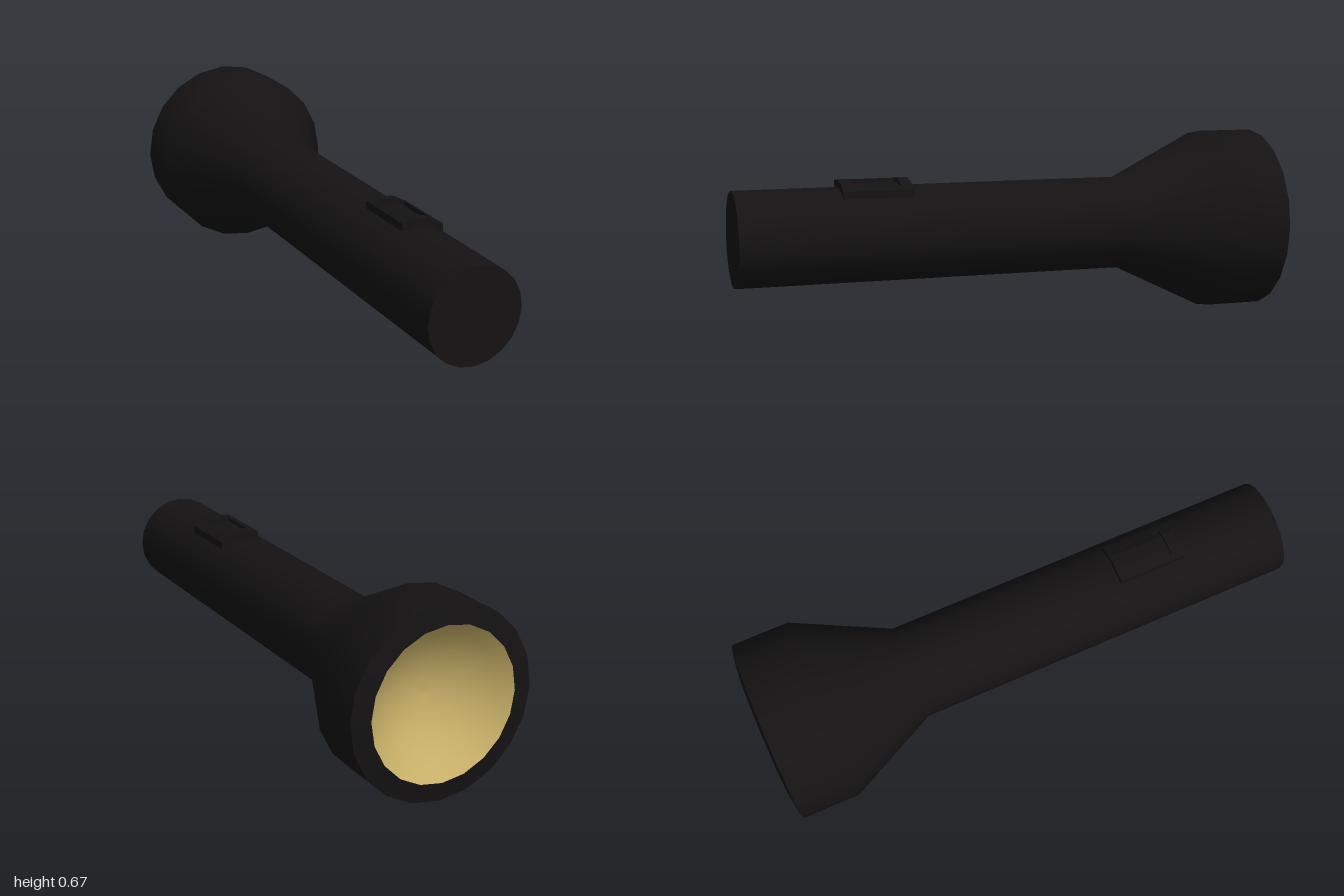
import * as THREE from 'three';

const SIDES = 20;
const R = 0.172;        // handle radius
const CY = 0.336;       // height of the torch axis

export function createModel() {
  const torch = new THREE.Group();
  torch.name = 'torch';
  const black = new THREE.MeshStandardMaterial({ color: 0x141213 });
  const gold = new THREE.MeshStandardMaterial({ color: 0xc8b068 });

  // Turned part: [radius, distance along the axis towards the head]
  function turned(name, profile, material) {
    const geo = new THREE.LatheGeometry(profile.map(([r, a]) => new THREE.Vector2(r, a)), SIDES);
    geo.rotateX(-Math.PI / 2);
    const mesh = new THREE.Mesh(geo, material);
    mesh.name = name;
    mesh.position.y = CY;
    torch.add(mesh);
  }

  turned('tailCap', [[0, -1], [R, -1]], black);
  turned('body', [[R, -1], [R, 0.435], [0.336, 0.775], [0.336, 0.988]], black);
  turned('headRim', [[0.336, 0.988], [0.268, 1]], black);

  // Shallow concave reflector
  const dish = [];
  for (let i = 0; i <= 6; i++) {
    const r = 0.268 * (1 - i / 6);
    dish.push([r, 0.88 + 0.12 * (r / 0.268) ** 2]);
  }
  turned('reflector', dish, gold);

  // Switch: slabs that follow the facets of the handle
  const facets = [-1, 0, 1, 2].map((i) => {
    const a = i * Math.PI * 2 / SIDES;
    return [R * Math.sin(a), CY + R * Math.cos(a)];
  });
  function surfaceY(x) {
    const i = x < facets[1][0] ? 0 : x < facets[2][0] ? 1 : 2;
    const [x0, y0] = facets[i], [x1, y1] = facets[i + 1];
    return y0 + (y1 - y0) * (x - x0) / (x1 - x0);
  }
  const switchGroup = new THREE.Group();
  switchGroup.name = 'switch';
  torch.add(switchGroup);
  function slab(name, x0, x1, z0, z1, height) {
    const xs = [x0, ...facets.map((f) => f[0]).filter((x) => x > x0 + 1e-4 && x < x1 - 1e-4), x1];
    const lower = xs.map((x) => new THREE.Vector2(x, surfaceY(x) - 0.01));
    const upper = xs.map((x) => new THREE.Vector2(x, surfaceY(x) + height)).reverse();
    const geo = new THREE.ExtrudeGeometry(new THREE.Shape([...lower, ...upper]),
      { depth: z1 - z0, bevelEnabled: false });
    geo.translate(0, 0, z0);
    const mesh = new THREE.Mesh(geo, black);
    mesh.name = name;
    switchGroup.add(mesh);
  }
  const xa = facets[0][0], xb = facets[3][0];
  const ia = xa + 0.025, ib = xb - 0.025;
  slab('switchFrameBack', xa, xb, 0.375, 0.415, 0.027);
  slab('switchFrameFront', xa, xb, 0.585, 0.628, 0.027);
  slab('switchFrameRight', xa, ia, 0.415, 0.585, 0.027);
  slab('switchFrameLeft', ib, xb, 0.415, 0.585, 0.027);
  slab('switchButton', ia, ib, 0.415, 0.585, 0.012);

  return torch;
}
